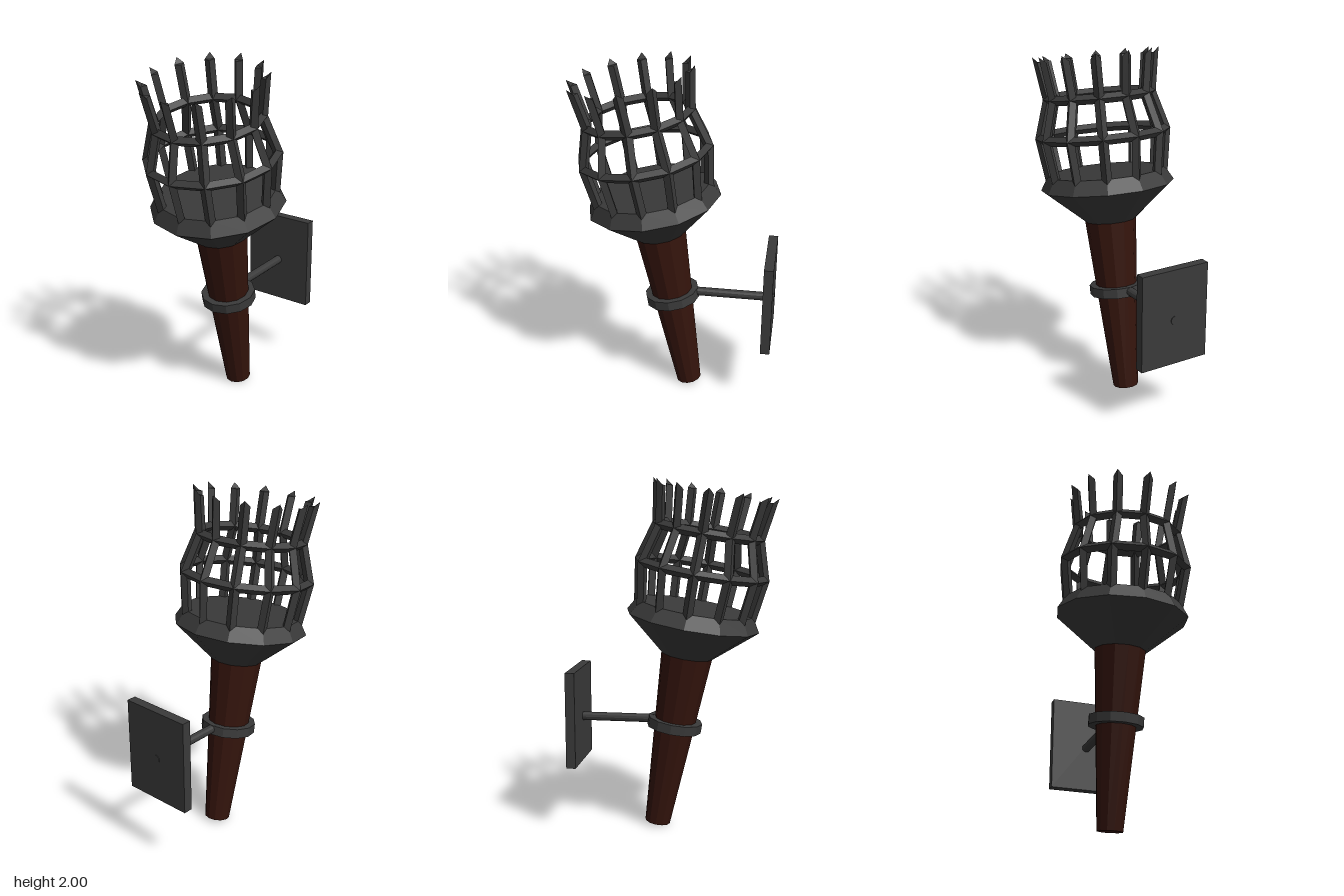
import * as THREE from 'three';

const SIDES = 12;
const iron = new THREE.MeshStandardMaterial({ color: 0x3a3a3a, flatShading: true });
const ironThin = new THREE.MeshStandardMaterial({ color: 0x3a3a3a, flatShading: true, side: THREE.DoubleSide });
const wood = new THREE.MeshStandardMaterial({ color: 0x34140c, flatShading: true });

function add(parent, name, geometry, material) {
  const mesh = new THREE.Mesh(geometry, material);
  mesh.name = name;
  parent.add(mesh);
  return mesh;
}

function lathe(points) {
  return new THREE.LatheGeometry(points.map(([r, y]) => new THREE.Vector2(r, y)), SIDES);
}

// Diamond-section bar bent along [radius, height] points, facing +z, with a pointed outer tip
function barGeometry(path, half) {
  const positions = [], index = [];
  path.forEach(([r, y], i) => {
    const lift = i === path.length - 1 ? 0.03 : 0;
    positions.push(0, y + lift, r + half, half, y, r, 0, y, r - half, -half, y, r);
    if (i === 0) return;
    for (let j = 0; j < 4; j++) {
      const k = (j + 1) % 4, lo = (i - 1) * 4, hi = i * 4;
      index.push(lo + j, lo + k, hi + k, lo + j, hi + k, hi + j);
    }
  });
  const t = (path.length - 1) * 4;
  index.push(t, t + 1, t + 3, t + 1, t + 2, t + 3, 0, 3, 1, 1, 3, 2);
  const geometry = new THREE.BufferGeometry();
  geometry.setAttribute('position', new THREE.Float32BufferAttribute(positions, 3));
  geometry.setIndex(index);
  geometry.computeVertexNormals();
  return geometry;
}

export function createModel() {
  const model = new THREE.Group();
  model.name = 'wallTorch';

  // Leaning torch, built upright along y and then tilted forward
  const torch = new THREE.Group();
  torch.name = 'torch';
  torch.position.set(0, 0.013, -0.093);
  torch.rotation.x = THREE.MathUtils.degToRad(9.7);
  model.add(torch);

  // Tapered wooden handle
  const handle = add(torch, 'handle', new THREE.CylinderGeometry(0.147, 0.073, 1.01, SIDES), wood);
  handle.position.y = 0.505;

  // Holding band around the handle
  add(torch, 'holdingBand', lathe([
    [0.115, 0.57], [0.157, 0.57], [0.157, 0.625], [0.115, 0.625], [0.115, 0.57],
  ]), ironThin);

  // Flared bowl with bevelled rim and closed top
  add(torch, 'bowl', lathe([
    [0, 1.005], [0.147, 1.005], [0.38, 1.205], [0.333, 1.285], [0, 1.285],
  ]), iron);

  // Cage: two hoops and twelve pointed bars
  const cage = new THREE.Group();
  cage.name = 'cage';
  torch.add(cage);
  for (const [name, radius, y] of [['lowerHoop', 0.355, 1.5], ['upperHoop', 0.29, 1.715]]) {
    const hoop = add(cage, name, new THREE.TorusGeometry(radius, 0.027, 4, SIDES), iron);
    hoop.rotation.x = Math.PI / 2;
    hoop.position.y = y;
  }
  const bar = barGeometry([[0.318, 1.24], [0.355, 1.5], [0.29, 1.715], [0.325, 1.925]], 0.028);
  for (let i = 0; i < SIDES; i++) {
    add(cage, 'cageBar', bar, iron).rotation.y = (i / SIDES) * Math.PI * 2;
  }

  // Wall plate and the rod joining it to the band
  const plate = add(model, 'wallPlate', new THREE.BoxGeometry(0.416, 0.55, 0.054), iron);
  plate.position.set(0, 0.645, -0.557);
  const rod = add(model, 'mountRod', new THREE.CylinderGeometry(0.025, 0.025, 0.475, SIDES), iron);
  rod.rotation.x = Math.PI / 2;
  rod.position.set(0, 0.63, -0.35);

  return model;
}
